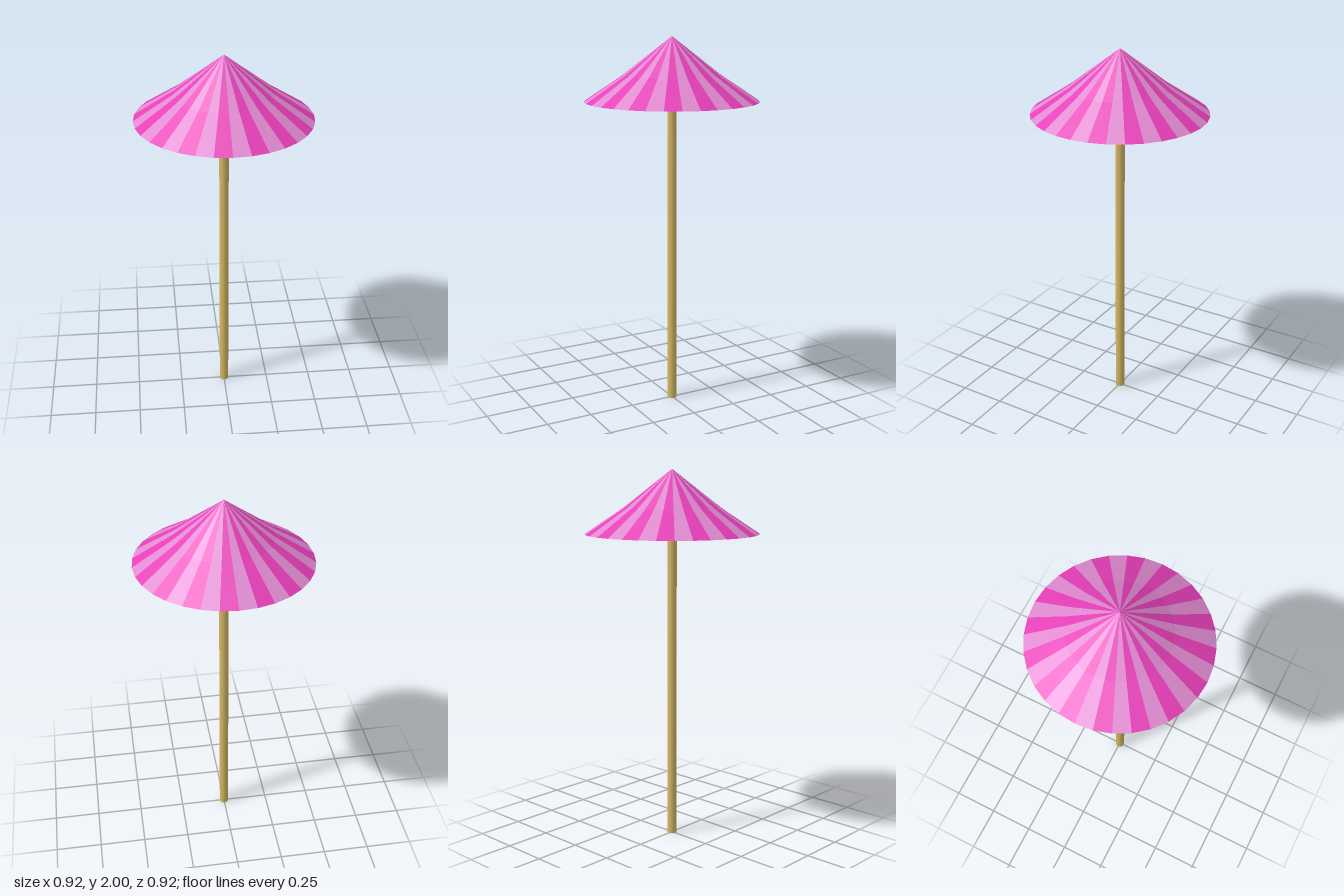
import * as THREE from 'three';

const STRIPES = 32;

export function createModel() {
  const model = new THREE.Group();
  model.name = 'parasol';

  // Round wooden pole
  const wood = new THREE.MeshStandardMaterial({ color: 0xd4b664 });
  const poleHeight = 1.975;
  const pole = new THREE.Mesh(new THREE.CylinderGeometry(0.025, 0.025, poleHeight, 16), wood);
  pole.name = 'pole';
  pole.position.y = poleHeight / 2;
  model.add(pole);

  // Thin canopy with a flared lower skirt, in flat alternating stripes
  const canopy = new THREE.Group();
  canopy.name = 'canopy';
  const colors = [0xe08ad0, 0xe63fb8].map((color) => new THREE.MeshStandardMaterial({
    color, flatShading: true, side: THREE.DoubleSide,
  }));
  const profile = [[0.46, 1.665], [0.257, 1.8], [0, 2]].map(([r, y]) => new THREE.Vector2(r, y));
  const step = (Math.PI * 2) / STRIPES;
  for (let i = 0; i < STRIPES; i++) {
    const stripe = new THREE.Mesh(new THREE.LatheGeometry(profile, 1, i * step, step), colors[i % 2]);
    stripe.name = 'canopyStripe';
    canopy.add(stripe);
  }
  model.add(canopy);

  return model;
}
